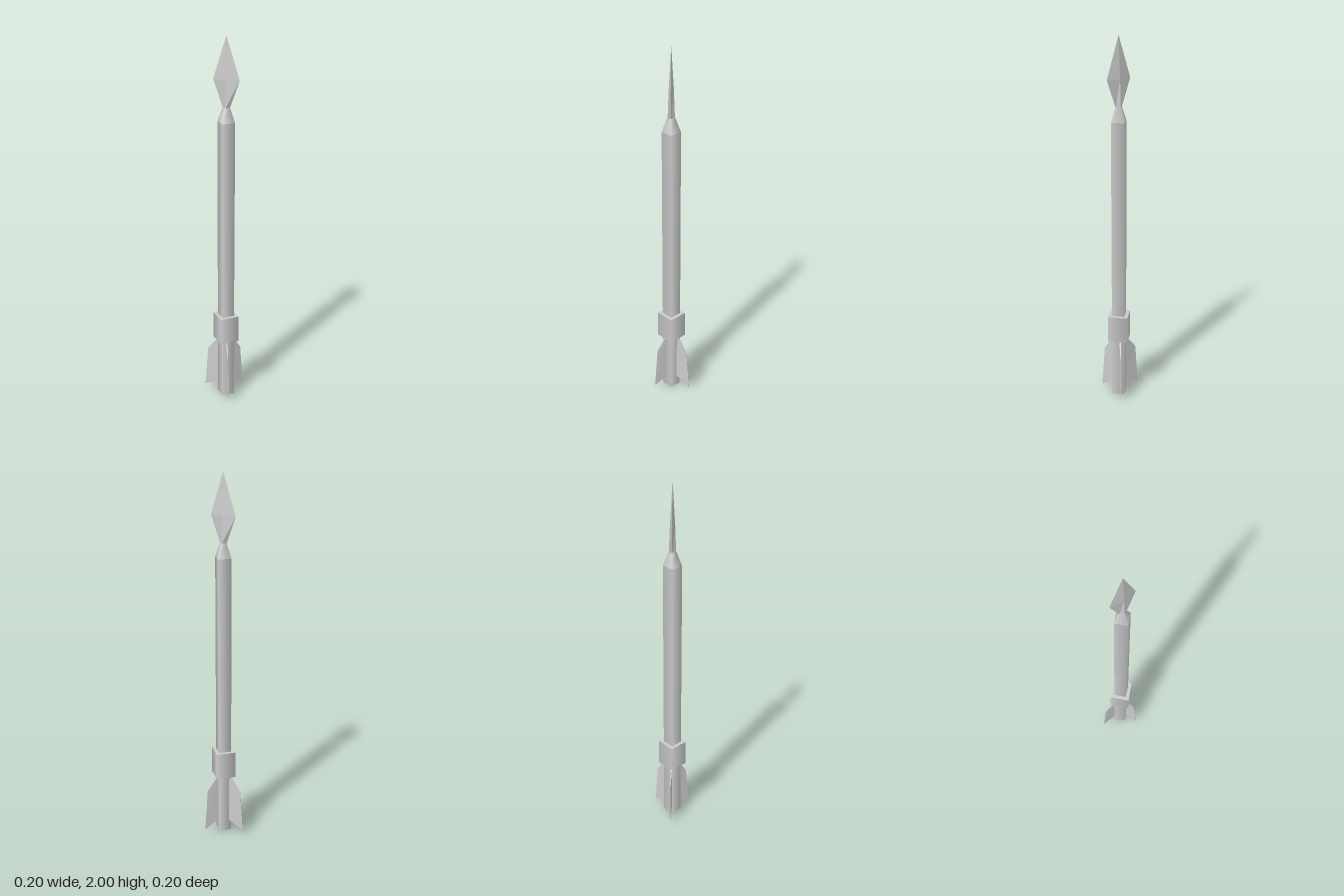
import * as THREE from 'three';

const CX = 0.025; // axis of the shaft
const smooth = new THREE.MeshStandardMaterial({ color: 0xcccccc });
const flat = new THREE.MeshStandardMaterial({ color: 0xcccccc, flatShading: true });

// Four-sided tapered section with its corners on the x and z axes
function section(name, y0, y1, r0, r1, openEnded = false) {
  const geo = new THREE.CylinderGeometry(r1, r0, y1 - y0, 4, 1, openEnded);
  const mesh = new THREE.Mesh(geo, smooth);
  mesh.name = name;
  mesh.position.set(CX, (y0 + y1) / 2, 0);
  return mesh;
}

// Leaf-shaped point: diamond rings [y, half width, half depth]
function makeHead() {
  const rings = [[2, 0.0004, 0.0004], [1.785, 0.071, 0.013], [1.64, 0.018, 0.018]];
  const geo = new THREE.CylinderGeometry(1, 1, 2, 4, 2);
  const p = geo.attributes.position;
  for (let i = 0; i < p.count; i++) {
    const [y, w, d] = rings[1 - Math.round(p.getY(i))];
    p.setXYZ(i, p.getX(i) * w, y, p.getZ(i) * d);
  }
  geo.computeVertexNormals();
  const mesh = new THREE.Mesh(geo, flat);
  mesh.name = 'spearHead';
  mesh.position.x = CX;
  return mesh;
}

// Swept fin, thick at the root and thin at the outer edge, pointing along +x
function makeFin(tip) {
  const geo = new THREE.BoxGeometry(2, 2, 2);
  const p = geo.attributes.position;
  for (let i = 0; i < p.count; i++) {
    const outer = p.getX(i) > 0, upper = p.getY(i) > 0;
    const x = outer ? (upper ? tip - 0.018 : tip) : (upper ? 0.04 : 0.025);
    const y = outer ? (upper ? 0.255 : 0.018) : (upper ? 0.34 : 0.07);
    p.setXYZ(i, x, y, p.getZ(i) * (outer ? 0.001 : 0.005));
  }
  geo.computeVertexNormals();
  return new THREE.Mesh(geo, flat);
}

export function createModel() {
  const model = new THREE.Group();
  model.add(
    section('shaft', 0, 1.57, 0.048, 0.048),
    section('shaftTaper', 1.57, 1.645, 0.048, 0.02),
    section('collar', 0.34, 0.49, 0.075, 0.075),
    makeHead()
  );

  // Three fins around the tail: name, angle in degrees, reach
  const fins = [['rightFin', 180, 0.124], ['backFin', 57, 0.117], ['frontFin', -60, 0.111]];
  for (const [name, angle, tip] of fins) {
    const fin = makeFin(tip);
    fin.name = name;
    fin.position.set(0.0225, 0, -0.004);
    fin.rotation.y = THREE.MathUtils.degToRad(angle);
    model.add(fin);
  }
  return model;
}
